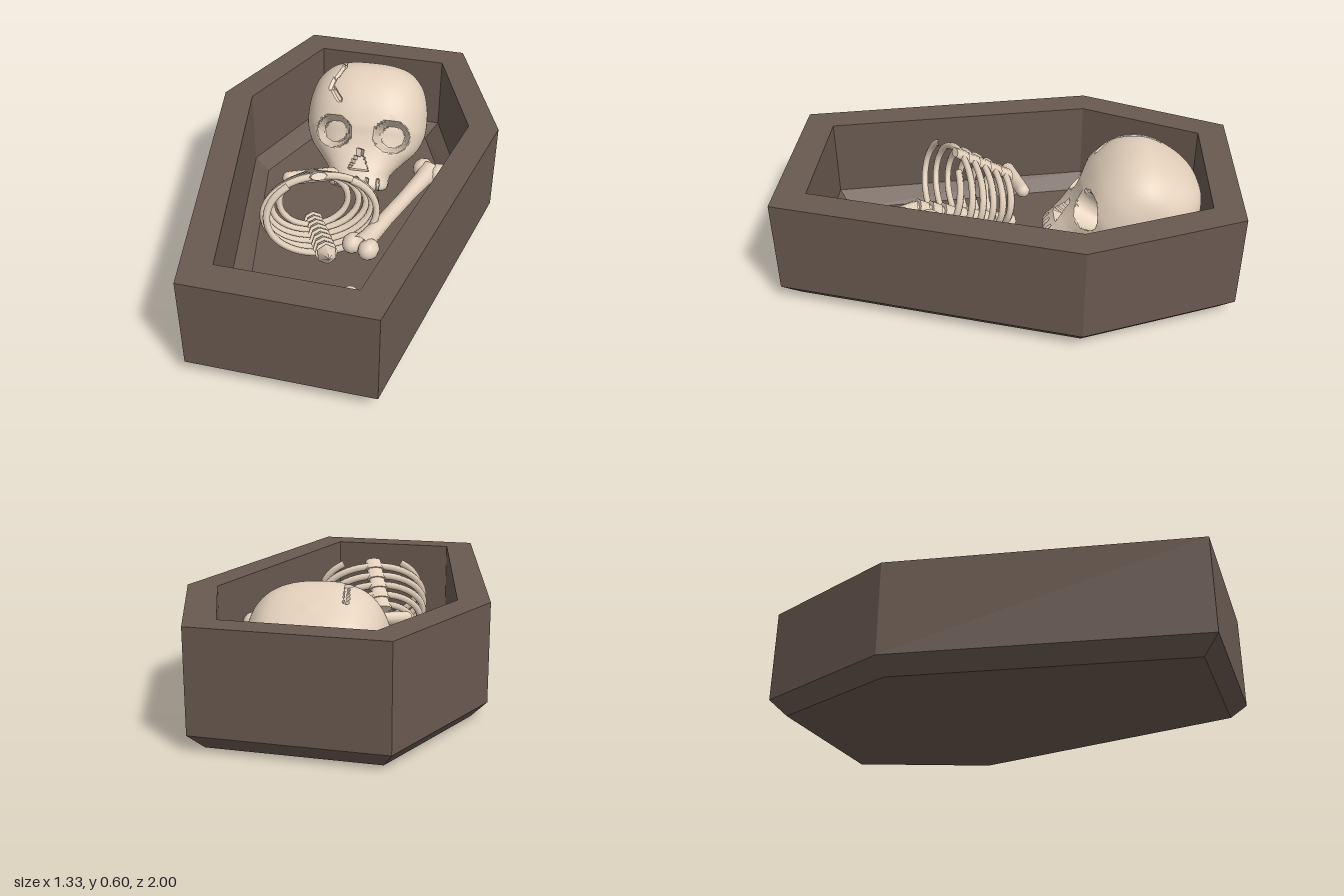
import * as THREE from 'three';
import { toCreasedNormals } from 'three/addons/utils/BufferGeometryUtils.js';

const wood = new THREE.MeshStandardMaterial({ color: 0x6a5a50 });
wood.name = 'darkWood';
const bone = new THREE.MeshStandardMaterial({ color: 0xe2cfbb });
bone.name = 'bone';

const V = (x, y, z) => new THREE.Vector3(x, y, z);

function add(parent, name, geometry, material, pos = [0, 0, 0]) {
  const mesh = new THREE.Mesh(geometry, material);
  mesh.name = name;
  mesh.position.set(...pos);
  parent.add(mesh);
  return mesh;
}

// Open box lofted through six-sided rings: outside, rim, inside, floor
function coffinGeometry() {
  // y, head half width, head z, shoulder half width, shoulder z, foot half width, foot z
  const rings = [
    [0, 0.355, -0.93, 0.595, -0.33, 0.345, 0.93],
    [0.07, 0.4, -1, 0.665, -0.335, 0.4, 1],
    [0.5, 0.4, -1, 0.665, -0.335, 0.4, 1],
    [0.5, 0.313, -0.87, 0.527, -0.33, 0.292, 0.863],
    [0.135, 0.313, -0.87, 0.527, -0.33, 0.292, 0.863],
    [0.07, 0.26, -0.805, 0.462, -0.325, 0.225, 0.8],
  ].map(([y, hw, hz, sw, sz, fw, fz]) => [
    V(hw, y, hz), V(-hw, y, hz), V(-sw, y, sz), V(-fw, y, fz), V(fw, y, fz), V(sw, y, sz)]);
  const pts = [];
  for (let k = 0; k < rings.length - 1; k++) {
    for (let i = 0; i < 6; i++) {
      const j = (i + 1) % 6, lo = rings[k], hi = rings[k + 1];
      pts.push(lo[i], lo[j], hi[j], lo[i], hi[j], hi[i]);
    }
  }
  const floor = rings[rings.length - 1], base = rings[0];
  for (let i = 1; i < 5; i++) {
    pts.push(floor[0], floor[i], floor[i + 1], base[0], base[i + 1], base[i]);
  }
  const g = new THREE.BufferGeometry().setFromPoints(pts);
  g.computeVertexNormals();
  return g;
}

// Distance from point (x, z) to a 2D polyline
function lineDistance(x, z, line) {
  let best = 1;
  for (let i = 0; i < line.length - 1; i++) {
    const [ax, az] = line[i], dx = line[i + 1][0] - ax, dz = line[i + 1][1] - az;
    const t = THREE.MathUtils.clamp(((x - ax) * dx + (z - az) * dz) / (dx * dx + dz * dz), 0, 1);
    best = Math.min(best, Math.hypot(x - ax - t * dx, z - az - t * dz));
  }
  return best;
}

// Skull: cross-sections from crown to upper jaw, with sockets, nose, teeth and crack pressed in
function skullGeometry() {
  // y, half width, front z, back z
  const table = [
    [0.272, 0, -0.03, -0.03], [0.26, 0.12, 0.08, -0.14], [0.23, 0.2, 0.15, -0.205],
    [0.16, 0.262, 0.21, -0.25], [0.06, 0.292, 0.245, -0.275], [-0.04, 0.297, 0.25, -0.275],
    [-0.1, 0.285, 0.24, -0.26], [-0.16, 0.255, 0.235, -0.22], [-0.22, 0.2, 0.24, -0.15],
    [-0.28, 0.15, 0.25, -0.03], [-0.35, 0.13, 0.25, 0.06], [-0.355, 0, 0.15, 0.15],
  ];
  const curve = (c) => new THREE.CatmullRomCurve3(
    table.map((r) => V(r[1], r[0], r[c])), false, 'catmullrom');
  const front = curve(2), back = curve(3);
  const crack = [[-0.14, -0.68], [-0.13, -0.57], [-0.18, -0.46], [-0.13, -0.4]];
  const rows = 110, cols = 160, pos = [], index = [];
  const power = (v) => Math.sign(v) * Math.abs(v) ** 0.8;
  const step = THREE.MathUtils.smoothstep;
  for (let r = 0; r <= rows; r++) {
    const f = front.getPoint(r / rows), b = back.getPoint(r / rows).z;
    for (let c = 0; c < cols; c++) {
      const a = (c / cols) * Math.PI * 2;
      let x = Math.max(f.x, 0) * power(Math.cos(a));
      let y = f.y;
      let z = (f.z + b) / 2 + ((f.z - b) / 2) * power(Math.sin(a));
      if (z > 0) {
        const eye = Math.hypot((Math.abs(x) - 0.14) / 0.088, (y + 0.09) / 0.08);
        z -= 0.12 * (1 - step(eye, 0.65, 1));
        const noseWidth = 0.05 * (-0.165 - y) / 0.1;
        if (y > -0.265 && Math.abs(x) < noseWidth) z -= 0.06;
        if (y < -0.3 && y > -0.352 && Math.abs(((x / 0.05 + 10) % 1) - 0.5) > 0.38) z -= 0.025;
      }
      if (y > 0 && lineDistance(x, -0.55 - 0.57 * y + 0.82 * z, crack) < 0.008) {
        x *= 0.955; y *= 0.955; z *= 0.955;
      }
      pos.push(x, y, z);
      if (r < rows) {
        const p = r * cols + c, q = r * cols + ((c + 1) % cols);
        index.push(p, q, p + cols, q, q + cols, p + cols);
      }
    }
  }
  const g = new THREE.BufferGeometry();
  g.setAttribute('position', new THREE.Float32BufferAttribute(pos, 3));
  g.setIndex(index);
  return toCreasedNormals(g, 0.6);
}

// Limb bone between two points: waisted shaft with a pair of knobs at each end
function limbBone(parent, name, a, b, radius, knob, spread) {
  const group = new THREE.Group();
  group.name = name;
  const dir = b.clone().sub(a), len = dir.length();
  group.position.copy(a).add(b).multiplyScalar(0.5);
  const yAxis = dir.normalize(), xAxis = yAxis.clone().cross(V(0, 1, 0)).normalize();
  group.quaternion.setFromRotationMatrix(
    new THREE.Matrix4().makeBasis(xAxis, yAxis, xAxis.clone().cross(yAxis)));
  const h = len / 2;
  const profile = [[-1, 1.35], [-0.75, 1.05], [-0.3, 0.9], [0.3, 0.9], [0.75, 1.05], [1, 1.35]]
    .map(([t, k]) => new THREE.Vector2(radius * k, t * h));
  add(group, 'shaft', new THREE.LatheGeometry(profile, 12), bone);
  for (const end of [-1, 1]) {
    for (const side of [-1, 1]) {
      const k = add(group, 'knob', new THREE.SphereGeometry(knob, 12, 8), bone,
        [side * spread, end * h, 0]);
      k.scale.y = 1.15;
    }
  }
  parent.add(group);
}

// Rib cage: y runs towards the neck, z towards the breastbone
function ribCage() {
  const cage = new THREE.Group();
  cage.name = 'ribCage';
  const xAxis = V(0.92, 0, -0.39).normalize(), yAxis = V(-0.36, -0.42, -0.83).normalize();
  cage.quaternion.setFromRotationMatrix(
    new THREE.Matrix4().makeBasis(xAxis, yAxis, xAxis.clone().cross(yAxis)));
  cage.position.set(-0.06, 0.31, 0.19);

  // Six rib levels, each a flat hoop dipping at the front; the last is open
  const widths = [0.16, 0.2, 0.225, 0.24, 0.25, 0.24];
  widths.forEach((w, i) => {
    const depth = 0.125 + 0.01 * i, y = 0.15 - i * 0.06;
    const gap = i === 5 ? 0.6 : 0.05;
    for (const side of [-1, 1]) {
      const path = [];
      for (let k = 0; k <= 12; k++) {
        const a = -Math.PI / 2 + (k / 12) * (Math.PI - gap);
        path.push(V(side * w * Math.cos(a), y - 0.025 * Math.sin(a), depth * Math.sin(a)));
      }
      add(cage, 'rib', new THREE.TubeGeometry(new THREE.CatmullRomCurve3(path), 24, 0.0165, 6), bone);
    }
  });

  // Spine: vertebrae with narrower discs between them
  for (let i = 0; i < 8; i++) {
    const y = 0.26 - i * 0.065, z = -0.13 - 0.003 * i;
    add(cage, 'vertebra', new THREE.CylinderGeometry(0.042, 0.05, 0.05, 8), bone, [0, y, z]);
    add(cage, 'disc', new THREE.CylinderGeometry(0.03, 0.03, 0.03, 8), bone, [0, y - 0.035, z]);
  }
  const tail = add(cage, 'tailbone', new THREE.ConeGeometry(0.045, 0.08, 6), bone, [0, -0.27, -0.155]);
  tail.rotation.x = Math.PI;

  // Breastbone segments following the front of the ribs
  for (let i = 0; i < 5; i++) {
    const s = add(cage, 'breastbone', new THREE.CylinderGeometry(0.045, 0.036, 0.062, 8), bone,
      [0, 0.125 - i * 0.062, 0.125 + i * 0.01]);
    s.scale.z = 0.5;
    s.rotation.x = -0.16;
  }

  // Collarbone bar across the neck end
  const collar = add(cage, 'collarbone', new THREE.CapsuleGeometry(0.032, 0.2, 4, 10), bone, [0, 0.2, 0.1]);
  collar.rotation.z = Math.PI / 2;
  return cage;
}

export function createModel() {
  const model = new THREE.Group();
  model.name = 'openCoffin';
  add(model, 'coffin', coffinGeometry(), wood);

  const skull = add(model, 'skull', skullGeometry(), bone, [0, 0.325, -0.555]);
  skull.rotation.set(-0.61, 0.1, 0.03);

  model.add(ribCage());
  limbBone(model, 'thighBone', V(0.38, 0.31, -0.2), V(0.18, 0.28, 0.37), 0.038, 0.045, 0.04);
  limbBone(model, 'upperSmallBone', V(-0.13, 0.115, 0.6), V(0.17, 0.115, 0.52), 0.024, 0.032, 0.026);
  limbBone(model, 'lowerSmallBone', V(-0.11, 0.115, 0.69), V(0.19, 0.115, 0.605), 0.024, 0.032, 0.026);
  return model;
}
